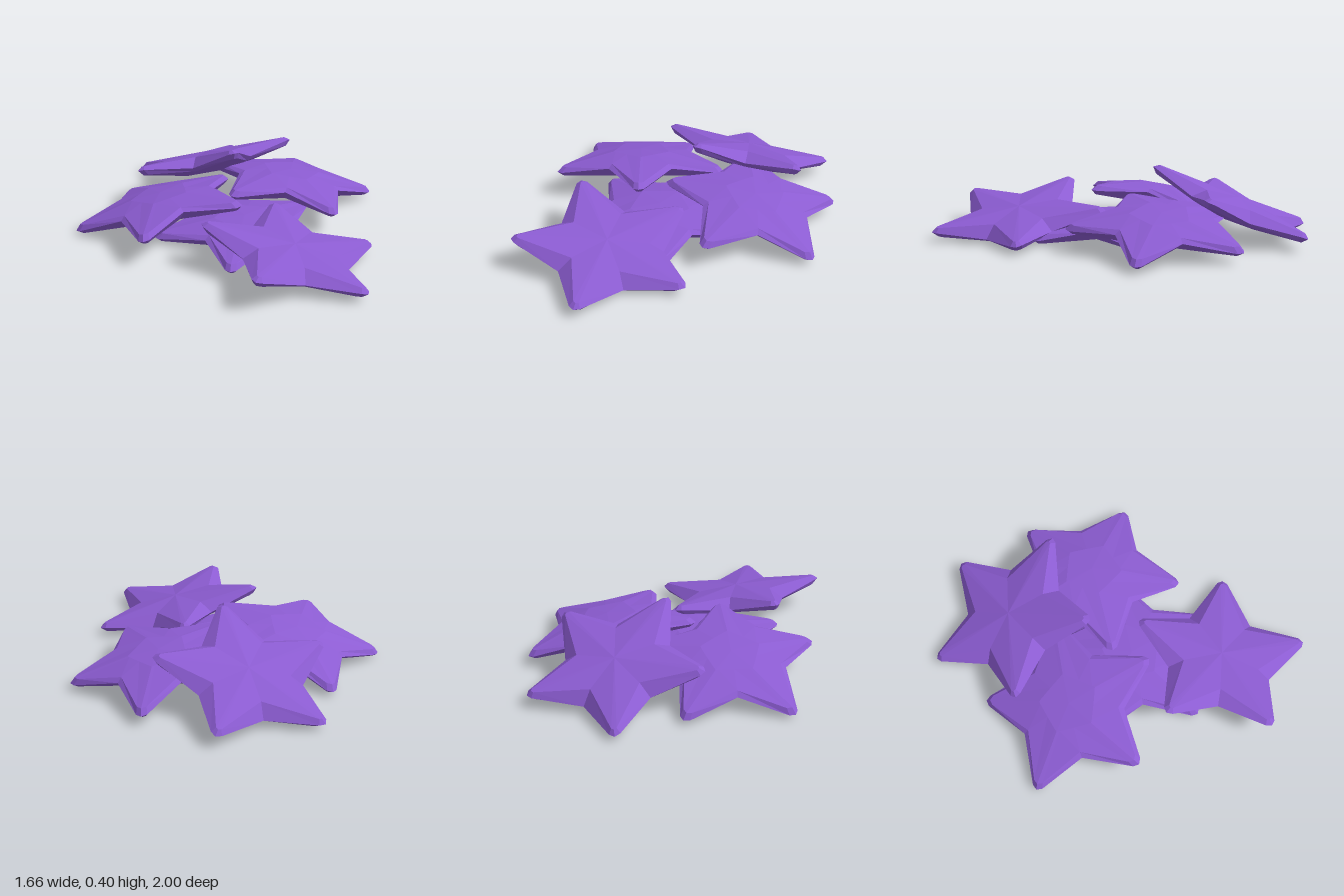
import * as THREE from 'three';

const ARMS = 5;

// Rings of the star from its flat face over the rim to its domed back.
// r / y: arm tip, vr / vy: valley between arms, w: half width of the blunt tip
const RINGS = [
  { r: 0.475, y: 0.026, vr: 0.225, vy: 0.018, w: 0.014 },
  { r: 0.505, y: 0.005, vr: 0.305, vy: -0.04, w: 0.03 },
  { r: 0.475, y: -0.026, vr: 0.275, vy: -0.062, w: 0.026 },
  { r: 0.17, y: -0.088, vr: 0.14, vy: -0.088, w: 0.015 },
];
const FRONT_Y = 0.034, BACK_Y = -0.094;

// Four points per arm: tip side, tip, tip side, valley
function ringPoints({ r, y, vr, vy, w }) {
  const points = [];
  for (let i = 0; i < ARMS; i++) {
    const a = (i / ARMS) * Math.PI * 2;
    const put = (out, side, h) => points.push(new THREE.Vector3(
      out * Math.cos(a) - side * Math.sin(a), h,
      out * Math.sin(a) + side * Math.cos(a)));
    put(r - w * 0.6, -w, y);
    put(r, 0, y);
    put(r - w * 0.6, w, y);
    const half = Math.PI / ARMS;
    put(vr * Math.cos(half), vr * Math.sin(half), vy);
  }
  return points;
}

// Faceted star, with separate corners on every face
function starGeometry() {
  const rings = RINGS.map(ringPoints);
  const n = rings[0].length;
  const front = new THREE.Vector3(0, FRONT_Y, 0);
  const back = new THREE.Vector3(0, BACK_Y, 0);
  const corners = [];
  for (let j = 0; j < n; j++) {
    const k = (j + 1) % n;
    corners.push(front, rings[0][k], rings[0][j]);
    for (let i = 0; i < rings.length - 1; i++) {
      const a = rings[i], b = rings[i + 1];
      corners.push(a[j], a[k], b[j], a[k], b[k], b[j]);
    }
    const last = rings[rings.length - 1];
    corners.push(back, last[j], last[k]);
  }
  const geometry = new THREE.BufferGeometry().setFromPoints(corners);
  geometry.computeVertexNormals();
  return geometry;
}

// Each star: centre, slope of its plane along x and z, direction of one tip, and
// whether the domed back is up
const STARS = [
  { name: 'bottomStar', at: [0.1, 0.046, 0.12], slope: [0, 0], tip: [0, 1], domeUp: true },
  { name: 'leftSideStar', at: [-0.365, 0.135, 0.09], slope: [0.23, 0.07], tip: [-0.46, 0.155], domeUp: true },
  { name: 'backRightStar', at: [0.29, 0.135, -0.36], slope: [-0.13, 0.123], tip: [-0.02, -0.5], domeUp: true },
  { name: 'frontStar', at: [0.42, 0.145, 0.51], slope: [-0.225, 0.018], tip: [-0.5, 0.015], domeUp: false },
  { name: 'topStar', at: [-0.22, 0.212, -0.52], slope: [0.26, 0.32], tip: [0.07, -0.48], domeUp: false },
];

export function createModel() {
  const group = new THREE.Group();
  group.name = 'starPile';
  const purple = new THREE.MeshStandardMaterial({ color: 0x8c5cd2 });
  purple.name = 'purple';
  const geometry = starGeometry();

  for (const { name, at, slope, tip, domeUp } of STARS) {
    const [sx, sz] = slope;
    const armAxis = new THREE.Vector3(tip[0], sx * tip[0] + sz * tip[1], tip[1]).normalize();
    const normal = new THREE.Vector3(-sx, 1, -sz).normalize();
    if (domeUp) normal.negate();
    const side = new THREE.Vector3().crossVectors(armAxis, normal);
    const star = new THREE.Mesh(geometry, purple);
    star.name = name;
    star.quaternion.setFromRotationMatrix(new THREE.Matrix4().makeBasis(armAxis, normal, side));
    star.position.set(...at);
    group.add(star);
  }
  return group;
}
